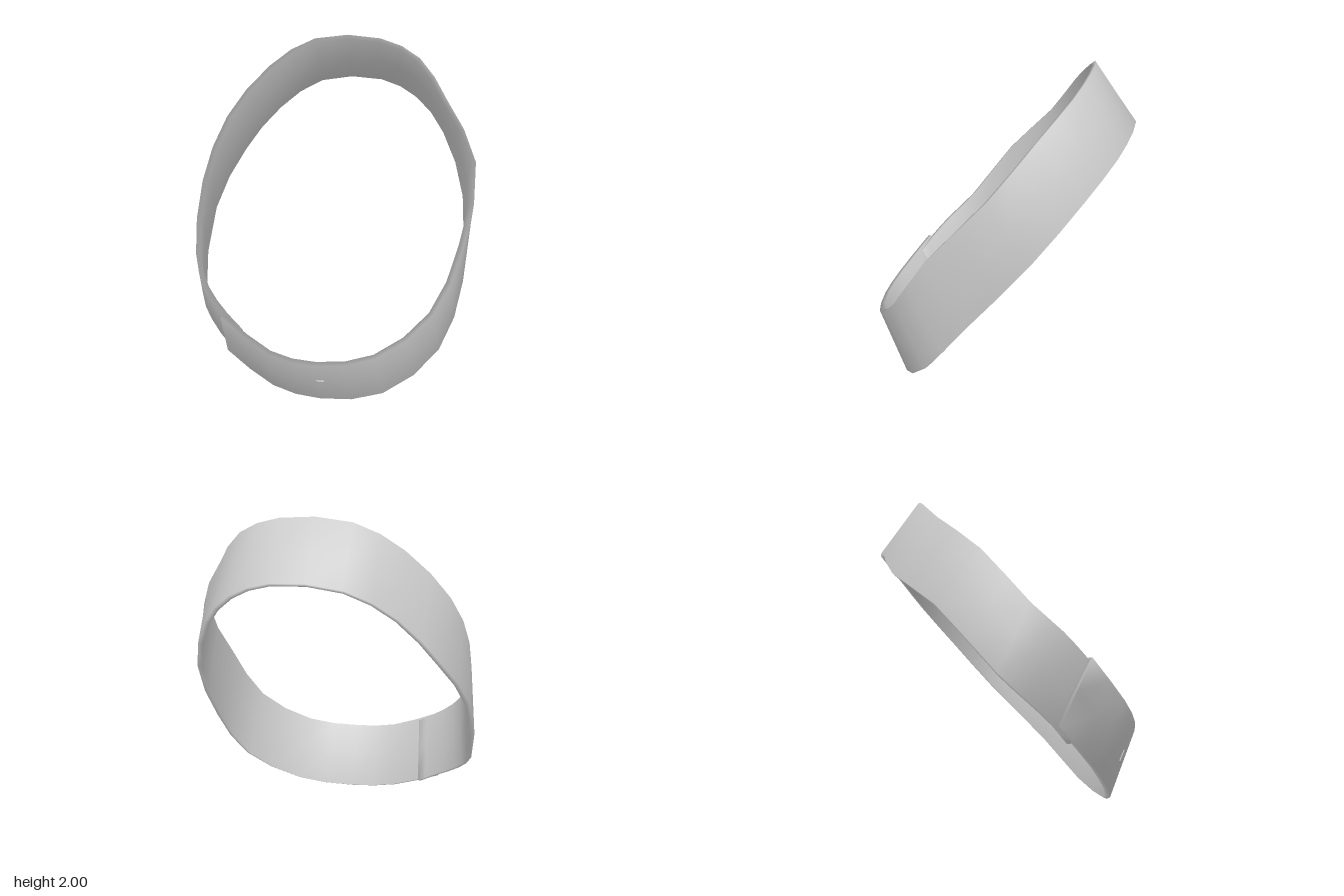
import * as THREE from 'three';

const THICKNESS = 0.03;
const STEPS_PER_SPAN = 2;

// Control points of the strap's two edges, paired, from the front overlap round by +x
const UPPER = [
  [-0.60, 0.57, 0.635], [-0.28, 0.43, 0.77], [0.01, 0.40, 0.80], [0.36, 0.45, 0.74],
  [0.68, 0.67, 0.56], [0.83, 1.02, 0.33], [0.87, 1.41, -0.03], [0.67, 1.70, -0.28],
  [0.48, 1.90, -0.46], [0.22, 1.99, -0.54], [-0.20, 1.97, -0.54], [-0.48, 1.81, -0.43],
  [-0.73, 1.52, -0.24], [-0.83, 1.20, 0.06], [-0.82, 0.83, 0.34], [-0.73, 0.68, 0.50],
  [-0.59, 0.57, 0.61], [-0.48, 0.50, 0.67],
];
const LOWER = [
  [-0.625, 0.18, 0.45], [-0.30, 0.04, 0.585], [0.01, 0.00, 0.62], [0.40, 0.05, 0.57],
  [0.73, 0.28, 0.37], [0.85, 0.63, 0.10], [0.84, 1.05, -0.27], [0.68, 1.38, -0.55],
  [0.48, 1.56, -0.71], [0.22, 1.65, -0.79], [-0.20, 1.62, -0.79], [-0.48, 1.45, -0.66],
  [-0.71, 1.18, -0.51], [-0.86, 0.87, -0.20], [-0.86, 0.42, 0.16], [-0.77, 0.30, 0.29],
  [-0.61, 0.19, 0.42], [-0.50, 0.12, 0.48],
];

// Smooth edge curve, sampled evenly between its control points
function sampleEdge(points) {
  const curve = new THREE.CatmullRomCurve3(points.map((p) => new THREE.Vector3(...p)));
  return curve.getPoints((points.length - 1) * STEPS_PER_SPAN);
}

// Sweeps a thin closed section between the two edges
function strapGeometry() {
  const tops = sampleEdge(UPPER);
  const bottoms = sampleEdge(LOWER);
  const mids = tops.map((p, i) => p.clone().lerp(bottoms[i], 0.5));
  const last = tops.length - 1;
  const ring = 6;
  const positions = [];
  const index = [];

  tops.forEach((top, i) => {
    const along = mids[Math.min(i + 1, last)].clone().sub(mids[Math.max(i - 1, 0)]);
    const across = top.clone().sub(bottoms[i]);
    const inward = along.cross(across).normalize().multiplyScalar(-THICKNESS);
    const outer = [top, mids[i], bottoms[i]];
    const inner = [bottoms[i], mids[i], top].map((p) => p.clone().add(inward));
    for (const p of [...outer, ...inner]) positions.push(p.x, p.y, p.z);
  });

  for (let i = 0; i < last; i++) {
    for (let j = 0; j < ring; j++) {
      const k = (j + 1) % ring;
      const a = i * ring + j, b = a + ring;
      const c = i * ring + k, d = c + ring;
      index.push(a, c, b, b, c, d);
    }
  }
  // end caps
  const e = last * ring;
  for (let j = 1; j < ring - 1; j++) {
    index.push(0, j + 1, j);
    index.push(e, e + j, e + j + 1);
  }

  const geometry = new THREE.BufferGeometry();
  geometry.setAttribute('position', new THREE.Float32BufferAttribute(positions, 3));
  geometry.setIndex(index);
  geometry.computeVertexNormals();
  return geometry;
}

export function createModel() {
  const group = new THREE.Group();
  group.name = 'belt';
  const material = new THREE.MeshStandardMaterial({ color: 0xcccccc });

  const strap = new THREE.Mesh(strapGeometry(), material);
  strap.name = 'strap';
  group.add(strap);

  // small stud lying flat on the sloping front
  const stud = new THREE.Mesh(new THREE.BoxGeometry(0.05, 0.07, 0.02), material);
  stud.name = 'frontStud';
  stud.position.set(0.025, 0.2, 0.705);
  stud.rotation.x = 0.42;
  group.add(stud);

  return group;
}
